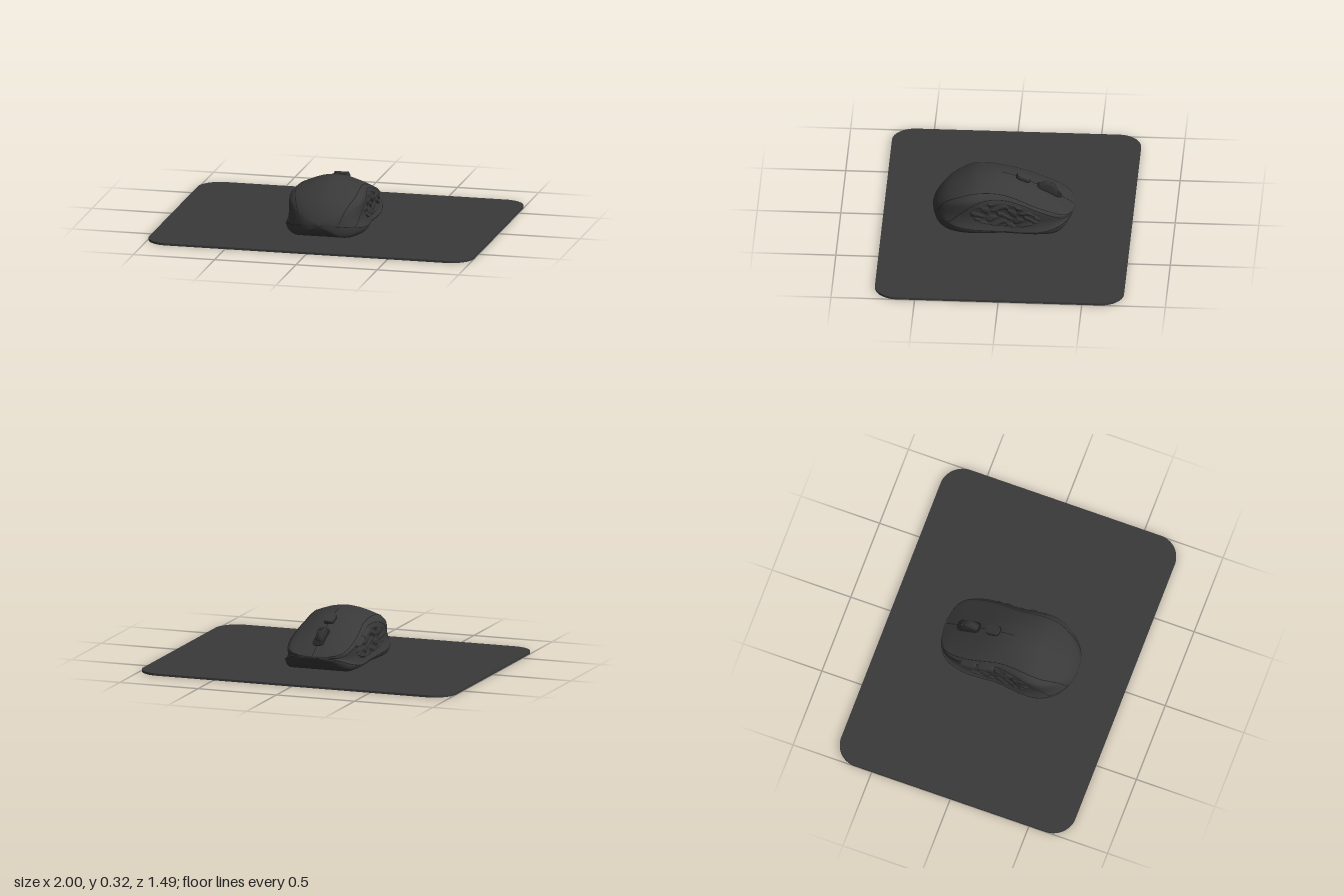
import * as THREE from 'three';

const mat = (name, color, side = THREE.FrontSide) => {
  const m = new THREE.MeshStandardMaterial({ color, side });
  m.name = name;
  return m;
};

// Body stations from nose to tail: z, half width, ridge height, lip height, underside height
const stations = [
  [-0.40, 0, 0.115, 0.108, 0.105], [-0.393, 0.07, 0.119, 0.106, 0.095],
  [-0.375, 0.135, 0.13, 0.10, 0.078], [-0.34, 0.185, 0.152, 0.08, 0.04],
  [-0.29, 0.213, 0.18, 0.06, 0.014], [-0.2, 0.23, 0.227, 0.04, 0.013],
  [-0.1, 0.228, 0.275, 0.034, 0.013], [0, 0.222, 0.309, 0.036, 0.013],
  [0.1, 0.234, 0.322, 0.044, 0.013], [0.2, 0.247, 0.312, 0.055, 0.013],
  [0.29, 0.235, 0.273, 0.066, 0.013], [0.36, 0.195, 0.23, 0.078, 0.014],
  [0.41, 0.135, 0.18, 0.09, 0.03], [0.438, 0.075, 0.135, 0.098, 0.065],
  [0.45, 0, 0.105, 0.1, 0.098],
];
const spline = (pts) => new THREE.CatmullRomCurve3(pts.map((p) => new THREE.Vector3(...p)));
const plan = spline(stations.map((s) => [s[0], s[1], s[2]]));
const under = spline(stations.map((s) => [s[0], s[3], s[4]]));
// Half section from ridge to lip, in fractions of width and height
const profile = spline([[0, 1], [0.3, 0.965], [0.55, 0.9], [0.75, 0.83], [0.85, 0.77],
  [0.92, 0.68], [0.925, 0.5], [0.92, 0.3], [0.95, 0.12], [1, 0]].map(([x, y]) => [x, y, 0]));

function station(t) {
  const a = plan.getPoint(t), b = under.getPoint(t);
  return { z: a.x, w: Math.max(0, a.y), top: a.z, lip: b.y, low: b.z };
}

function tAt(z) {
  let lo = 0, hi = 1;
  for (let i = 0; i < 24; i++) {
    const mid = (lo + hi) / 2;
    if (plan.getPoint(mid).x < z) lo = mid; else hi = mid;
  }
  return lo;
}

// Point on the upper shell: t along the body, s from ridge (0) to lip (±1)
function shellPoint(t, s, out = 0) {
  const c = station(t), a = Math.abs(s), sign = Math.sign(s);
  const p = profile.getPoint(a);
  const k = THREE.MathUtils.smoothstep(c.z, 0.22, 0.46) * 0.8;
  const fx = THREE.MathUtils.lerp(p.x, Math.sin(a * Math.PI / 2), k);
  const fy = THREE.MathUtils.lerp(p.y, Math.cos(a * Math.PI / 2), k);
  return new THREE.Vector3(sign * (fx * c.w + out), c.lip + fy * (c.top - c.lip), c.z);
}

// Smooth surface over a grid of points
function surface(fn, nu, nv, flip = false) {
  const pos = [], index = [];
  for (let i = 0; i <= nu; i++) {
    for (let j = 0; j <= nv; j++) pos.push(...fn(i / nu, j / nv).toArray());
  }
  for (let i = 0; i < nu; i++) {
    for (let j = 0; j < nv; j++) {
      const a = i * (nv + 1) + j, b = a + nv + 1;
      if (flip) index.push(a, a + 1, b, b, a + 1, b + 1);
      else index.push(a, b, a + 1, b, b + 1, a + 1);
    }
  }
  const g = new THREE.BufferGeometry();
  g.setAttribute('position', new THREE.Float32BufferAttribute(pos, 3));
  g.setIndex(index);
  g.computeVertexNormals();
  return g;
}

// Raised patch on a flank; relief(u, v) gives its height for u, v in -1..1
const patch = (side, z, halfZ, s, halfS, relief) => surface((a, b) => {
  const u = a * 2 - 1, v = b * 2 - 1;
  return shellPoint(tAt(z + u * halfZ), side * (s + v * halfS), relief(u, v));
}, 72, 32, side < 0);

function roundedPlate(w, h, r, depth) {
  const x = w / 2, y = h / 2, s = new THREE.Shape();
  s.absarc(x - r, y - r, r, 0, Math.PI / 2);
  s.absarc(-x + r, y - r, r, Math.PI / 2, Math.PI);
  s.absarc(-x + r, -y + r, r, Math.PI, Math.PI * 1.5);
  s.absarc(x - r, -y + r, r, Math.PI * 1.5, Math.PI * 2);
  return new THREE.ExtrudeGeometry(s, { depth, bevelEnabled: false, curveSegments: 12 })
    .rotateX(-Math.PI / 2);
}

export function createModel() {
  const group = new THREE.Group();
  const padMat = mat('charcoal mat', 0x3a3a3a);
  const bodyMat = mat('charcoal plastic', 0x393939);
  const gripMat = mat('dark rubber', 0x343434);
  const seamMat = mat('seam black', 0x222222);
  const add = (name, geometry, material, parent = group) => {
    const m = new THREE.Mesh(geometry, material);
    m.name = name;
    parent.add(m);
    return m;
  };

  // Desk mat
  add('deskMat', roundedPlate(2, 1.49, 0.14, 0.013), padMat);

  // Upper shell and bowl-shaped base
  add('upperShell', surface((u, v) => shellPoint(u, v * 2 - 1), 84, 64), bodyMat);
  add('base', surface((u, v) => {
    const c = station(v), x = u * 2 - 1, a = Math.abs(x);
    const f = a > 0.5 ? (1 - a) * 2 : 1;
    const ang = f * Math.PI / 2;
    const w = a > 0.5 ? 0.8 + 0.2 * Math.cos(ang) : 0.8 * a * 2;
    return new THREE.Vector3(Math.sign(x) * w * c.w, c.lip - (c.lip - c.low) * Math.sin(ang), c.z);
  }, 40, 84), bodyMat);

  // Wrinkled side grips
  const wrinkles = (u, v) => {
    const mask = 1 - u * u - v * v;
    if (mask < 0) return -0.004;
    const wave = Math.sin(u * 17 + 2.2 * Math.sin(v * 6)) + Math.sin(v * 11 + 2 * Math.sin(u * 9 + 1));
    return -0.004 + Math.min(1, mask * 5) * (0.007 + 0.009 * THREE.MathUtils.smoothstep(wave, -0.2, 0.6));
  };
  for (const side of [-1, 1]) {
    add(side > 0 ? 'leftGrip' : 'rightGrip', patch(side, 0.005, 0.22, 0.73, 0.18, wrinkles), gripMat);
  }

  // Thumb buttons on one flank
  const cushion = (u, v) => -0.004 + 0.026 * THREE.MathUtils.smoothstep(1 - u ** 6 - v ** 4, 0, 0.6);
  for (const z of [-0.175, -0.065]) {
    add('thumbButton', patch(-1, z, 0.052, 0.55, 0.06, cushion), bodyMat);
  }

  // Seam lines laid on the shell, as pairs of z and s
  const seam = (name, points, radius = 0.0022) => {
    const path = [];
    const guide = spline(points.map(([z, s]) => [z, s, 0]));
    for (let i = 0; i <= 40; i++) {
      const p = guide.getPoint(i / 40);
      path.push(shellPoint(tAt(p.x), p.y));
    }
    add(name, new THREE.TubeGeometry(new THREE.CatmullRomCurve3(path), 80, radius, 6), seamMat);
  };
  for (const side of [-1, 1]) {
    seam('topShellSeam', [[-0.385, 0.6], [-0.3, 0.48], [-0.1, 0.42], [0.1, 0.36], [0.25, 0.36],
      [0.36, 0.48], [0.42, 0.85]].map(([z, s]) => [z, s * side]));
    seam('sidePanelSeam', [[-0.385, 0.85], [-0.28, 0.6], [-0.1, 0.52], [0.08, 0.52], [0.19, 0.6],
      [0.28, 0.75], [0.35, 0.98]].map(([z, s]) => [z, s * side]));
    seam('lipSeam', [[-0.398, side], [-0.2, side], [0, side], [0.2, side], [0.448, side]]);
  }
  seam('buttonSplit', [[-0.395, 0.001], [-0.2, 0.001], [0.04, 0.001]]);

  // Scroll wheel in its slot
  const slot = add('wheelSlot', roundedPlate(0.072, 0.165, 0.03, 0.008), seamMat);
  slot.position.set(0, 0.198, -0.245);
  slot.rotation.x = -0.47;
  const wheel = new THREE.Group();
  wheel.name = 'scrollWheel';
  wheel.position.set(0, 0.2, -0.235);
  group.add(wheel);
  add('wheelTyre', new THREE.LatheGeometry([[0, -0.022], [0.048, -0.022], [0.056, -0.017],
    [0.058, 0], [0.056, 0.017], [0.048, 0.022], [0, 0.022]]
    .map(([x, y]) => new THREE.Vector2(x, y)), 40).rotateZ(Math.PI / 2), gripMat, wheel);
  for (let i = 0; i < 30; i++) {
    const rib = new THREE.BoxGeometry(0.03, 0.005, 0.005).translate(0, 0.0575, 0);
    add('wheelRib', rib.rotateX(i / 30 * Math.PI * 2), gripMat, wheel);
  }

  // Speed button behind the wheel
  const rim = add('speedButtonRim', roundedPlate(0.066, 0.094, 0.026, 0.008), seamMat);
  const cap = add('speedButton', roundedPlate(0.056, 0.084, 0.022, 0.02), bodyMat);
  for (const part of [rim, cap]) {
    part.position.set(0, 0.275, -0.09);
    part.rotation.x = -0.4;
  }
  return group;
}
